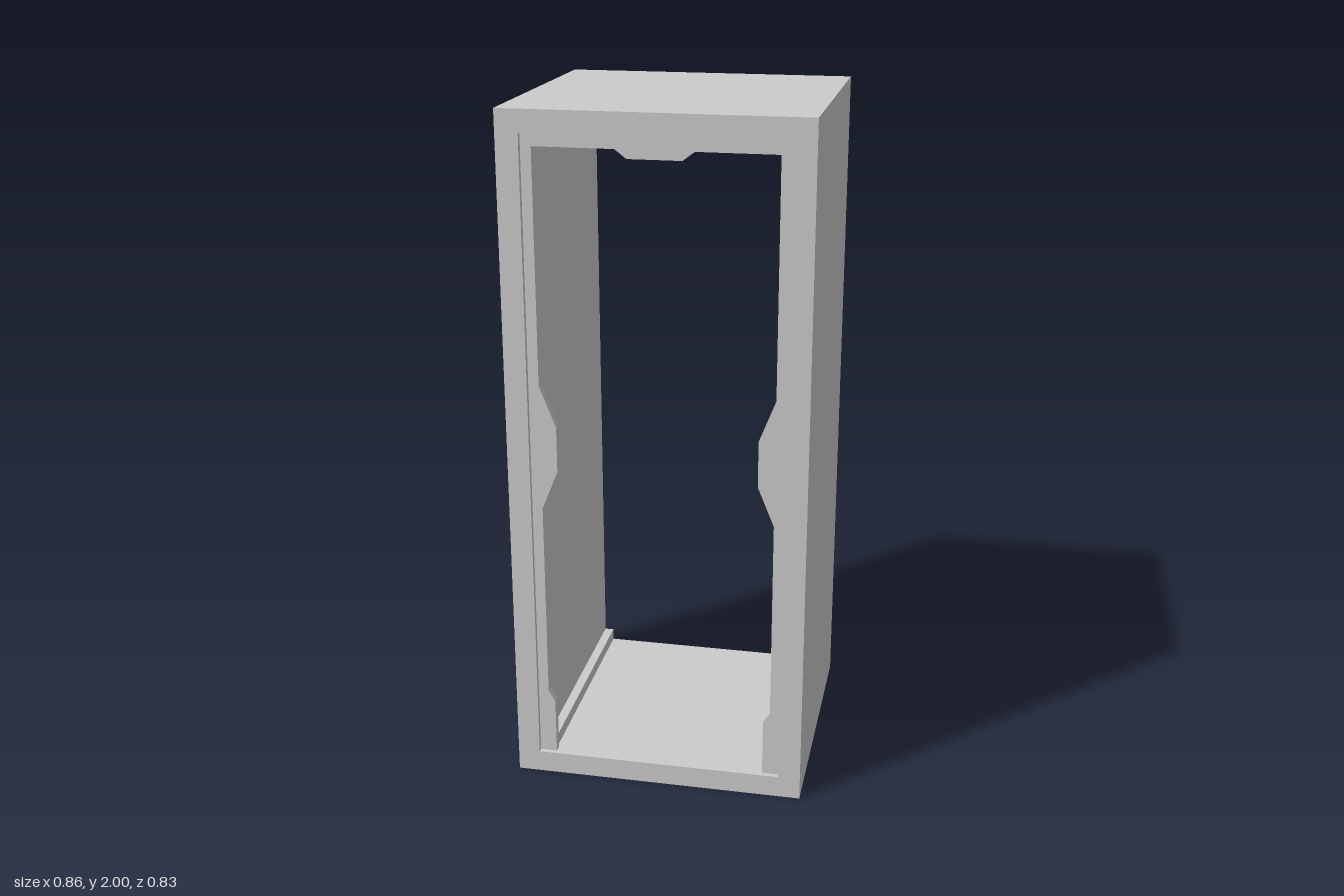
import * as THREE from 'three';

const X = 0.43, H = 2, Z = 0.413;               // outer shell
const IX = 0.365, IB = 0.065, IT = 1.935;       // inner liner
const FX = 0.337, FY = 0.028, FZ = 0.368;       // sunken floor

const material = new THREE.MeshStandardMaterial({ color: 0xcccccc, side: THREE.DoubleSide });

function part(name, geometry) {
  const mesh = new THREE.Mesh(geometry, material);
  mesh.name = name;
  return mesh;
}

// Sweeps a closed outline of [x, y] points along z as a thin sheet, open at both ends.
function tube(outline, z0, z1) {
  const pos = [];
  outline.forEach(([ax, ay], i) => {
    const [bx, by] = outline[(i + 1) % outline.length];
    pos.push(ax, ay, z0, bx, by, z0, bx, by, z1, ax, ay, z0, bx, by, z1, ax, ay, z1);
  });
  const geo = new THREE.BufferGeometry();
  geo.setAttribute('position', new THREE.Float32BufferAttribute(pos, 3));
  geo.computeVertexNormals();
  return geo;
}

const rect = (x, y0, y1) => [[-x, y0], [x, y0], [x, y1], [-x, y1]];
const toShape = (pts) => new THREE.Shape(pts.map(([x, y]) => new THREE.Vector2(x, y)));
const mirrored = (pts) => [...pts, ...pts.map(([x, y]) => [-x, y]).reverse()];

export function createModel() {
  const group = new THREE.Group();
  group.name = 'cabinet';

  // Outer casing, open at the back
  group.add(part('outerCasing', tube(rect(X, 0, H), -Z, Z)));

  // Inner liner with a floor sunk between two side ledges
  const liner = mirrored([[FX, FY], [FX, IB], [IX, IB], [IX, IT]]).reverse();
  group.add(part('innerLiner', tube(liner, -Z, FZ)));
  group.add(part('frontReveal', tube(rect(IX, IB, IT).reverse(), FZ, Z)));

  // Step at the front end of the sunken floor
  const step = new THREE.PlaneGeometry(2 * FX, IB - FY);
  step.rotateY(Math.PI);
  step.translate(0, (IB + FY) / 2, FZ);
  group.add(part('floorStep', step));

  // Flat front rim joining casing and liner
  const rimShape = toShape(rect(X, 0, H));
  rimShape.holes.push(toShape(rect(IX, IB, IT)));
  const rim = new THREE.ShapeGeometry(rimShape);
  rim.translate(0, 0, Z);
  group.add(part('frontRim', rim));

  // Recessed lip around the opening, with a tab on each side and at the top
  const lip = toShape(mirrored([
    [IX, IT], [IX, IB], [0.315, IB], [0.315, 0.235], [0.335, 0.267],
    [0.335, 0.86], [0.288, 0.975], [0.288, 1.11], [0.335, 1.23],
    [0.335, 1.9], [0.108, 1.9], [0.075, 1.875],
  ]));
  const lipGeo = new THREE.ExtrudeGeometry(lip, { depth: 0.024, bevelEnabled: false });
  lipGeo.translate(0, 0, 0.374);
  group.add(part('openingLip', lipGeo));

  return group;
}
